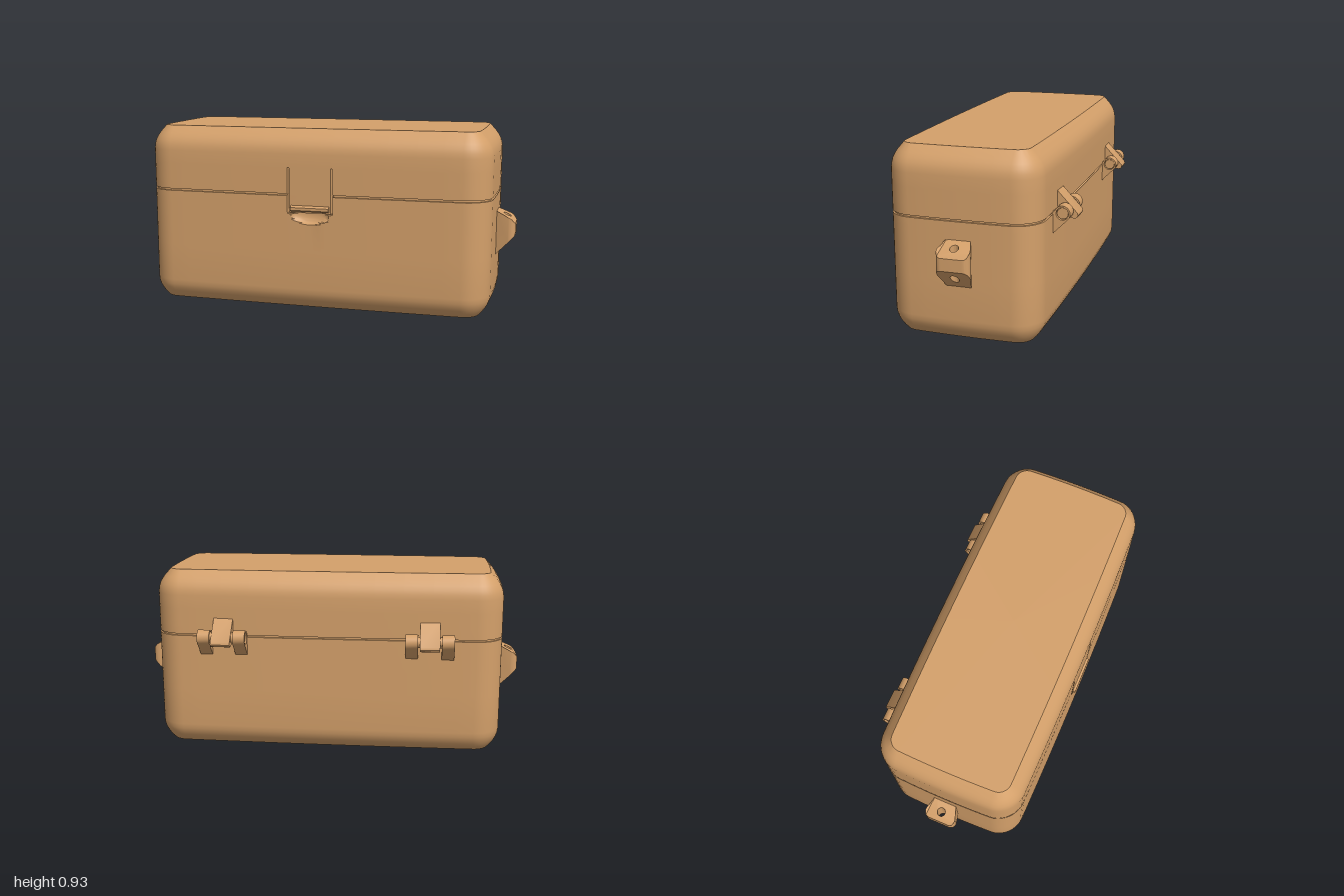
import * as THREE from 'three';
import { toCreasedNormals } from 'three/addons/utils/BufferGeometryUtils.js';

const W = 0.905, D = 0.3875, R = 0.13, ZC = 0.0425; // half width, half depth, corner radius, centre z
const SEAM = 0.008;

// Plan outline as a bowed rounded rectangle: [x, z, onFront, unbowed x]
function outline(inset) {
  const pts = [], cx = W - R, cz = D - R, r = R - inset;
  const half = [0.02, 0.04, 0.06, 0.08, 0.1, 0.110, 0.112, 0.119, 0.121, 0.25, 0.4, 0.55, 0.68];
  const xs = [...half.slice().reverse(), 0, ...half.map(v => -v)];
  const add = (x, z, front) => pts.push([
    x * (1 - 0.015 * (z / D) ** 2), z * (1 - 0.035 * (x / W) ** 2) + ZC, front, x]);
  const corner = (sx, sz, start) => {
    for (let i = 0; i <= 10; i++) {
      const a = start + i / 10 * Math.PI / 2;
      add(sx * cx + r * Math.cos(a), sz * cz + r * Math.sin(a), false);
    }
  };
  const side = s => [-0.17, -0.08, 0, 0.08, 0.17].forEach(z => add(s * (cx + r), s * z, false));
  side(1);
  corner(1, 1, 0);
  xs.forEach(x => add(x, cz + r, true));
  corner(-1, 1, Math.PI / 2);
  side(-1);
  corner(-1, -1, Math.PI);
  xs.forEach(x => add(-x, -cz - r, false));
  corner(1, -1, Math.PI * 1.5);
  return pts;
}

// Recesses of the latch in the front wall: side slots, lower slit, finger scoop
function dent(x, y) {
  const ax = Math.abs(x);
  if (ax > 0.1115 && ax < 0.1195 && y > 0.497 && y < 0.7305) return 0.03;
  if (y > 0.587 && y < 0.6 && ax < 0.1115) return y > 0.5885 && y < 0.5975 ? -SEAM : 0;
  let d = ax < 0.1115 && y > 0.496 && y < 0.501 ? 0.02 : 0;
  if (y < 0.501) {
    const e = 1 - (x / 0.1) ** 2 - ((0.5 - y) / 0.056) ** 2;
    if (e > 0) d = Math.max(d, 0.03 * Math.sqrt(e));
  }
  return d;
}

// Loft through rows of [inset, y], closed at the bottom or top
function shell(rows, capTop) {
  const pos = [], idx = [];
  let n = 0;
  rows.forEach(([inset, y]) => {
    const ring = outline(inset);
    n = ring.length;
    ring.forEach(([x, z, front, x0]) => pos.push(x, y, z - (front ? dent(x0, y) : 0)));
  });
  for (let i = 0; i < rows.length - 1; i++) {
    for (let j = 0; j < n; j++) {
      const a = i * n + j, b = i * n + (j + 1) % n, c = b + n, d = a + n;
      idx.push(a, d, c, a, c, b);
    }
  }
  const last = rows.length - 1, base = capTop ? last * n : 0, centre = pos.length / 3;
  pos.push(0, rows[capTop ? last : 0][1], ZC);
  for (let j = 0; j < n; j++) {
    const p = base + j, q = base + (j + 1) % n;
    if (capTop) idx.push(centre, q, p); else idx.push(centre, p, q);
  }
  const g = new THREE.BufferGeometry();
  g.setAttribute('position', new THREE.Float32BufferAttribute(pos, 3));
  g.setIndex(idx);
  return toCreasedNormals(g, 0.5);
}

// Extrude a [z, y] profile along x between x0 and x1, with an optional round hole
function extrudeX(profile, x0, x1, hole) {
  const s = new THREE.Shape(profile.map(p => new THREE.Vector2(...p)));
  if (hole) s.holes.push(new THREE.Path().absarc(...hole, 0, Math.PI * 2, true));
  const g = new THREE.ExtrudeGeometry(s, { depth: x1 - x0, bevelEnabled: false, curveSegments: 20 });
  return toCreasedNormals(g.rotateY(-Math.PI / 2).translate(x1, 0, 0), 0.6);
}

// Carrying lug: plan shape with a vertical hole, its top and bottom sloped by x
function lugGeometry() {
  const s = new THREE.Shape();
  s.moveTo(0.87, -0.055);
  s.lineTo(0.9, -0.06);
  s.lineTo(0.965, -0.081);
  s.quadraticCurveTo(1, -0.083, 1, -0.05);
  s.lineTo(1, 0.05);
  s.quadraticCurveTo(1, 0.083, 0.965, 0.081);
  s.lineTo(0.9, 0.06);
  s.lineTo(0.87, 0.055);
  s.closePath();
  s.holes.push(new THREE.Path().absarc(0.955, 0, 0.021, 0, Math.PI * 2, true));
  const g = new THREE.ExtrudeGeometry(s, { depth: 1, bevelEnabled: false, curveSegments: 12 });
  g.rotateX(-Math.PI / 2);
  const p = g.attributes.position;
  for (let i = 0; i < p.count; i++) {
    const x = p.getX(i), tip = Math.max(0, x - 0.98);
    p.setY(i, p.getY(i) > 0.5 ? 0.5 - 0.47 * (x - 0.905) - 0.8 * tip : 0.275 + 1.08 * (x - 0.905));
  }
  return toCreasedNormals(g.translate(0, 0, 0.043), 0.6);
}

export function createModel() {
  const model = new THREE.Group();
  model.name = 'hingedBox';
  const tan = new THREE.MeshStandardMaterial({ color: 0xd4a06a });
  tan.name = 'tan';
  const add = (name, geometry, parent = model) => {
    const m = new THREE.Mesh(geometry, tan);
    m.name = name;
    parent.add(m);
    return m;
  };

  // Base and lid meet in a shallow groove
  const flat = ys => ys.map(y => [0, y]);
  add('base', shell([
    [0.055, 0], [0.036, 0.02], [0.021, 0.04], [0.010, 0.06], [0.003, 0.08],
    ...flat([0.105, 0.3, 0.443, 0.446, 0.45, 0.455, 0.46, 0.468, 0.476, 0.484, 0.492,
      0.495, 0.4965, 0.5, 0.502, 0.55, 0.588]),
    [SEAM, 0.589], [SEAM, 0.593],
  ], false));
  add('lid', shell([
    [SEAM, 0.593], [SEAM, 0.597],
    ...flat([0.598, 0.65, 0.73, 0.731, 0.8]),
    [0.003, 0.825], [0.010, 0.848], [0.022, 0.869], [0.036, 0.888], [0.07, 0.925],
  ], true));

  // Grip ridge on the latch flap
  add('latchRidge', extrudeX([[0.42, 0.51], [0.437, 0.51], [0.443, 0.516], [0.443, 0.53], [0.42, 0.547]], -0.1, 0.1));

  // Side lugs, one turned round to the other end
  const lug = lugGeometry();
  add('leftLug', lug);
  const other = add('rightLug', lug);
  other.rotation.y = Math.PI;
  other.position.z = 0.086;

  // Hinges: a lid arm between two base arms on a common pin
  const pinZ = -0.382, pinY = 0.592;
  const lidArm = [[-0.32, 0.705], [-0.32, 0.61], [-0.35, 0.605], [-0.375, 0.562], [-0.395, 0.556],
    [-0.425, 0.553], [-0.436, 0.557], [-0.441, 0.567], [-0.438, 0.58]];
  const baseArm = [[-0.32, 0.475], [-0.32, 0.6], [-0.345, 0.605]];
  for (let i = 0; i <= 12; i++) {
    const a = Math.PI * (0.2 + 1.05 * i / 12);
    baseArm.push([pinZ + 0.039 * Math.cos(a), pinY + 0.039 * Math.sin(a)]);
  }
  for (const s of [-1, 1]) {
    const hinge = new THREE.Group();
    hinge.name = s > 0 ? 'leftHinge' : 'rightHinge';
    hinge.position.x = s * 0.53;
    model.add(hinge);
    add('lidArm', extrudeX(lidArm, -0.05, 0.05), hinge);
    add('baseArm', extrudeX(baseArm, -0.123, -0.06, [pinZ, pinY, 0.03]), hinge);
    add('baseArm', extrudeX(baseArm, 0.06, 0.123, [pinZ, pinY, 0.03]), hinge);
    const pin = new THREE.CylinderGeometry(0.027, 0.027, 0.23, 24).rotateZ(Math.PI / 2);
    add('pin', pin.translate(0, pinY, pinZ), hinge);
  }
  return model;
}
